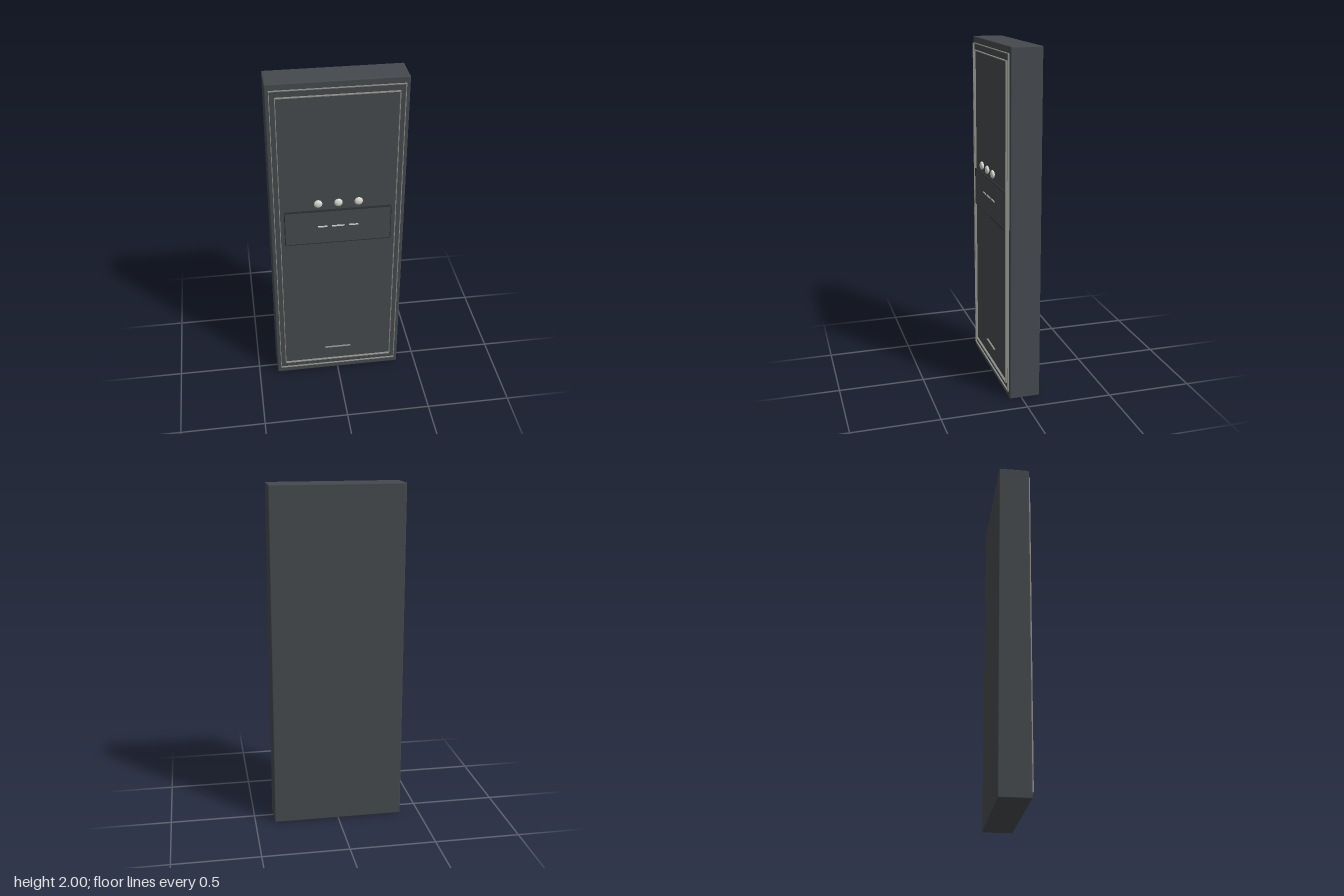
import * as THREE from 'three';
import { RoundedBoxGeometry } from 'three/addons/geometries/RoundedBoxGeometry.js';

function material(name, color) {
  const m = new THREE.MeshStandardMaterial({ color });
  m.name = name;
  return m;
}

export function createModel() {
  const group = new THREE.Group();
  const slate = material('slate', 0x45494d);
  const charcoal = material('charcoal', 0x2b2d30);
  const silver = material('silver', 0x8f8f89);
  const ivory = material('ivory', 0xdcdbd3);

  const add = (name, geometry, mat, x, y, z) => {
    const mesh = new THREE.Mesh(geometry, mat);
    mesh.name = name;
    mesh.position.set(x, y, z);
    group.add(mesh);
    return mesh;
  };

  // Bar between two corners, from depth z0 to z1
  const bar = (name, mat, x0, x1, y0, y1, z0, z1) =>
    add(name, new THREE.BoxGeometry(x1 - x0, y1 - y0, z1 - z0), mat,
      (x0 + x1) / 2, (y0 + y1) / 2, (z0 + z1) / 2);

  // Thin rectangular outline
  const frame = (name, mat, hw, y0, y1, z0, z1, t) => {
    const outline = new THREE.Shape([[-hw, y0], [hw, y0], [hw, y1], [-hw, y1]]
      .map(([x, y]) => new THREE.Vector2(x, y)));
    outline.holes.push(new THREE.Path([[-hw + t, y0 + t], [-hw + t, y1 - t], [hw - t, y1 - t], [hw - t, y0 + t]]
      .map(([x, y]) => new THREE.Vector2(x, y))));
    add(name, new THREE.ExtrudeGeometry(outline, { depth: z1 - z0, bevelEnabled: false }), mat, 0, 0, z0);
  };

  // Slab with softened edges
  add('body', new RoundedBoxGeometry(0.77, 2, 0.178, 2, 0.006), slate, 0, 1, -0.019);

  // Two inlaid border lines
  frame('outerBorder', silver, 0.364, 0.04, 1.964, 0.068, 0.079, 0.004);
  frame('innerBorder', silver, 0.334, 0.08, 1.924, 0.068, 0.083, 0.004);

  // Label panel with a dark edge
  bar('labelPanel', slate, -0.304, 0.304, 0.996, 1.211, 0.068, 0.084);
  frame('labelEdge', charcoal, 0.307, 0.993, 1.214, 0.068, 0.085, 0.004);

  // Dashes on the panel
  for (const [x0, x1] of [[-0.116, -0.062], [-0.037, 0.037], [0.062, 0.116]])
    bar('dash', ivory, x0, x1, 1.105, 1.113, 0.083, 0.087);

  // Fine line near the foot
  bar('footLine', silver, -0.08, 0.08, 0.175, 0.179, 0.068, 0.08);

  // Flattened studs
  for (const x of [-0.115, 0, 0.115]) {
    const stud = add('stud', new THREE.SphereGeometry(0.024, 24, 16), ivory, x, 1.27, 0.094);
    stud.scale.z = 0.5;
  }
  return group;
}
